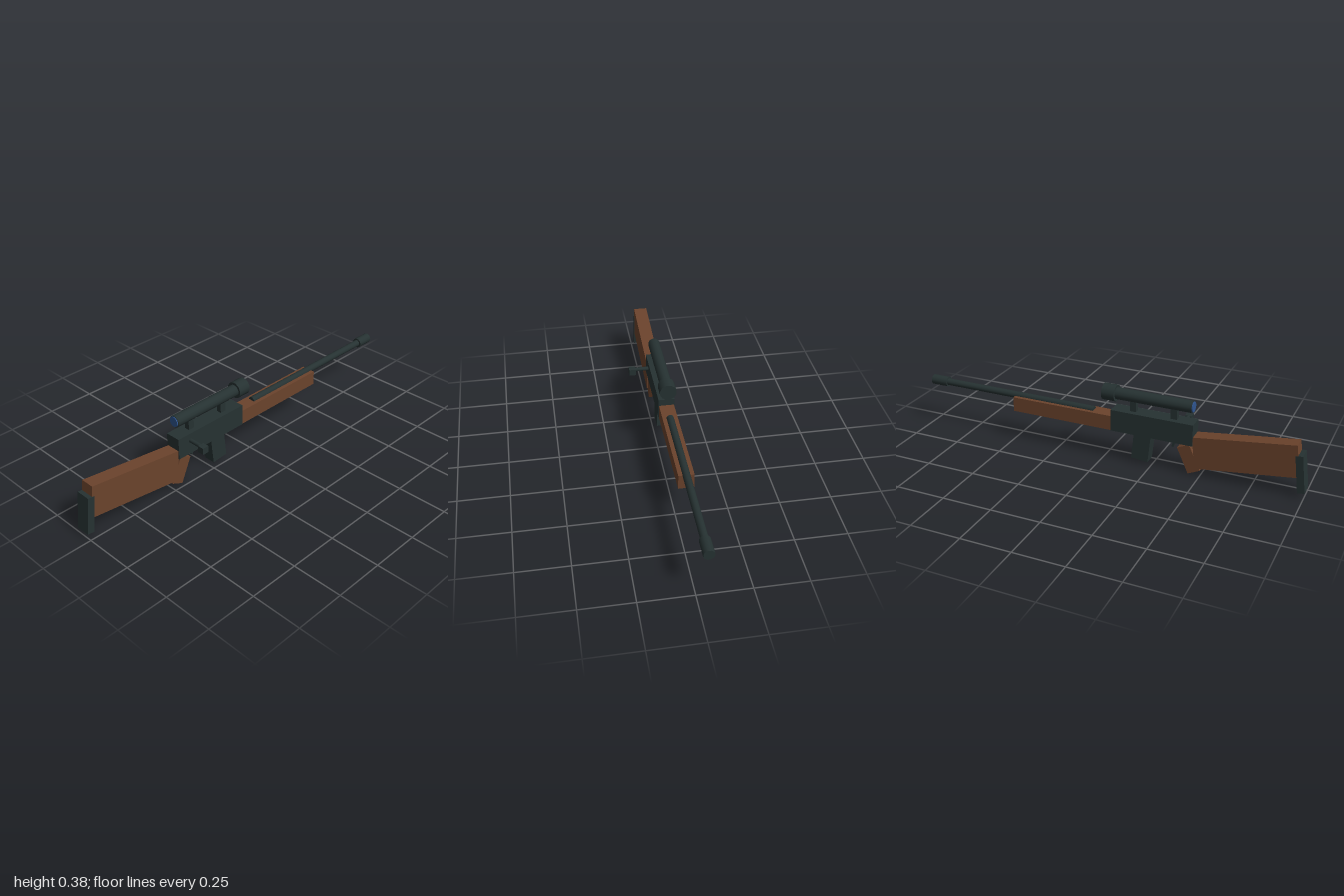
import * as THREE from 'three';

const AXIS_X = -0.05; // centre line of the body

export function createModel() {
  const model = new THREE.Group();
  model.name = 'scopedRifle';

  const material = (name, color) => {
    const m = new THREE.MeshStandardMaterial({ color });
    m.name = name;
    return m;
  };
  const metal = material('darkMetal', 0x263232);
  const wood = material('brownWood', 0x6b432c);
  const glass = material('blueGlass', 0x2f5590);

  const add = (name, geometry, mat, x, y, z, tilt = 0) => {
    const mesh = new THREE.Mesh(geometry, mat);
    mesh.name = name;
    mesh.position.set(x, y, z);
    mesh.rotation.x = tilt;
    model.add(mesh);
    return mesh;
  };
  // Box on the centre line, tilted about x
  const box = (name, mat, w, h, d, y, z, tilt) =>
    add(name, new THREE.BoxGeometry(w, h, d), mat, AXIS_X, y, z, tilt);
  // Round part running along z between two ends
  const tube = (name, mat, r, y, zFront, zBack, sides = 12) => {
    const g = new THREE.CylinderGeometry(r, r, zFront - zBack, sides);
    g.rotateY(Math.PI / sides).rotateX(Math.PI / 2);
    return add(name, g, mat, AXIS_X, y, (zFront + zBack) / 2);
  };

  // Body
  box('receiver', metal, 0.08, 0.11, 0.42, 0.22, 0.25);
  box('magazine', metal, 0.06, 0.18, 0.087, 0.12, 0.198, 0.1);
  box('trigger', metal, 0.015, 0.05, 0.01, 0.15, 0.357, 0.3);

  // Wooden furniture
  box('handguard', wood, 0.075, 0.075, 0.54, 0.203, -0.23);
  box('stock', wood, 0.07, 0.163, 0.5, 0.16, 0.713, -0.125);
  box('grip', wood, 0.058, 0.14, 0.065, 0.088, 0.44, -0.43);
  box('buttPad', metal, 0.073, 0.187, 0.035, 0.128, 0.974, -0.125);

  // Barrel
  tube('barrel', metal, 0.018, 0.24, -0.065, -0.95);
  tube('muzzle', metal, 0.026, 0.24, -0.91, -1);

  // Scope and its mounts
  tube('scopeTube', metal, 0.03, 0.351, 0.445, 0.03);
  tube('scopeBell', metal, 0.042, 0.351, 0.057, -0.01);
  tube('scopeLens', glass, 0.026, 0.351, 0.45, 0.442, 16);
  for (const z of [0.354, 0.146]) box('scopeMount', metal, 0.027, 0.065, 0.032, 0.303, z);

  // Bolt handle on the left side
  const bolt = new THREE.CylinderGeometry(0.0105, 0.0105, 0.1, 8).rotateZ(Math.PI / 2);
  add('boltHandle', bolt, metal, 0.02, 0.237, 0.385);
  add('boltKnob', new THREE.BoxGeometry(0.034, 0.034, 0.034), metal, 0.075, 0.229, 0.385);

  return model;
}
